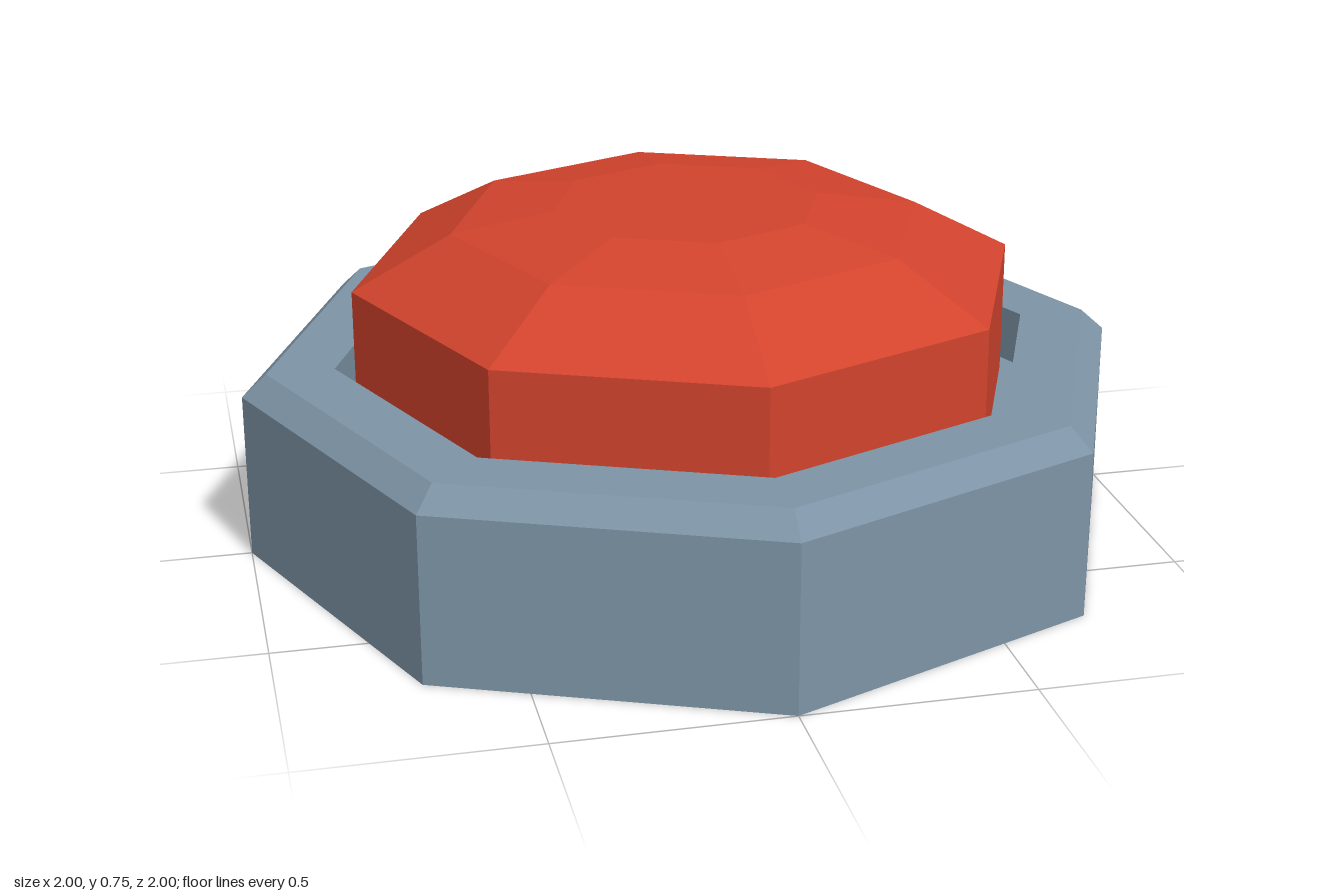
import * as THREE from 'three';

const SIDES = 8;

// Faceted solid of revolution from [radius, height] points, listed along the outside from the bottom up
function facetedLathe(name, profile, material) {
  const points = profile.map(([r, y]) => new THREE.Vector2(r, y));
  const geometry = new THREE.LatheGeometry(points, SIDES).toNonIndexed();
  geometry.computeVertexNormals();
  const mesh = new THREE.Mesh(geometry, material);
  mesh.name = name;
  return mesh;
}

export function createModel() {
  const group = new THREE.Group();
  group.name = 'pushButton';

  const steel = new THREE.MeshStandardMaterial({ color: 0x7d94a6 });
  steel.name = 'blue grey housing';
  const red = new THREE.MeshStandardMaterial({ color: 0xd2432d });
  red.name = 'red button';

  // Housing: closed bottom, bevelled rim and a recessed well
  group.add(facetedLathe('housing', [
    [0, 0], [1, 0], [1, 0.375], [0.945, 0.425],
    [0.795, 0.425], [0.795, 0.3], [0, 0.3],
  ], steel));

  // Button: straight wall, two sloped rings and a flat crown
  group.add(facetedLathe('button', [
    [0.75, 0.3], [0.75, 0.6], [0.53, 0.717], [0.3, 0.755], [0, 0.755],
  ], red));

  return group;
}
